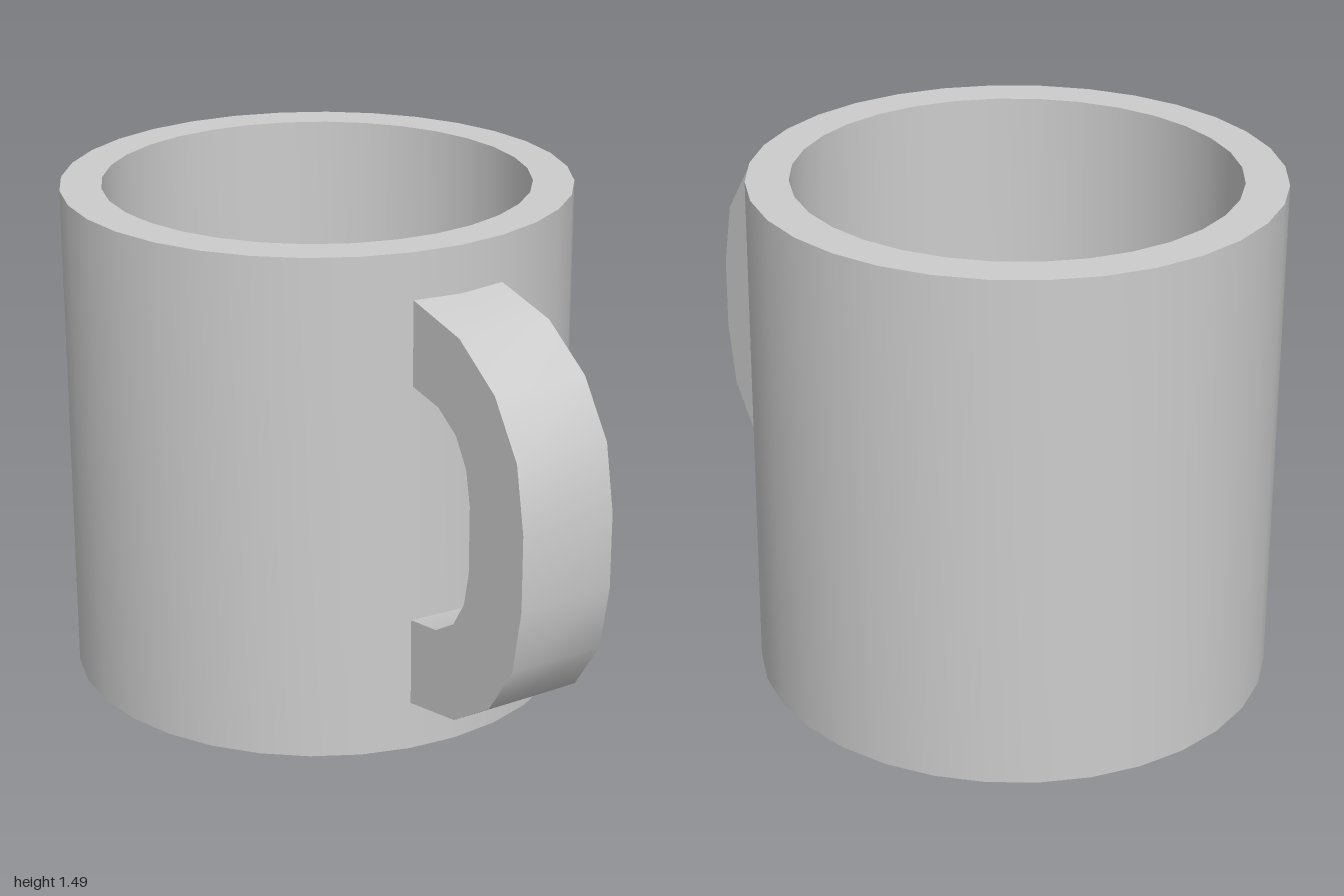
import * as THREE from 'three';
import { toCreasedNormals } from 'three/addons/utils/BufferGeometryUtils.js';

const CREASE = 0.7;
const RADIUS = 0.745, INNER = 0.625, HEIGHT = 1.49, FLOOR = 0.12, CENTRE_Z = -0.255;
const SIDES = 32, HANDLE_WIDTH = 0.29;

export function createModel() {
  const group = new THREE.Group();
  group.name = 'mug';
  const grey = new THREE.MeshStandardMaterial({ color: 0xcccccc });
  grey.name = 'light grey';

  // Cup: closed profile turned around the axis, with a thick wall and floor
  const profile = [
    [0, 0], [RADIUS, 0], [RADIUS, HEIGHT], [INNER, HEIGHT], [INNER, FLOOR], [0, FLOOR],
  ].map(([r, y]) => new THREE.Vector2(r, y));
  const cup = new THREE.Mesh(toCreasedNormals(new THREE.LatheGeometry(profile, SIDES), CREASE), grey);
  cup.name = 'cup';
  cup.position.z = CENTRE_Z;
  group.add(cup);

  // Handle: faceted C outline as (z, y), upper half mirrored about its mid height
  const midY = 0.75;
  const outer = [[0.476, 1.355], [0.695, 1.312], [0.86, 1.205], [0.965, 1.05], [1, 0.86]];
  const inner = [[0.476, 1.108], [0.6, 1.088], [0.685, 1.035], [0.735, 0.955], [0.755, 0.855]];
  const mirror = (pts, y) => pts.map(([z, py]) => [z, 2 * y - py]).reverse();
  const outline = [
    ...outer, ...mirror(outer, midY),
    ...mirror(mirror(inner, midY + 0.007), midY + 0.007).length
      ? [...mirror(inner, midY + 0.007)].reverse() : [],
    ...[...inner].reverse(),
  ].map(([z, y]) => new THREE.Vector2(z, y));
  const handleGeometry = new THREE.ExtrudeGeometry(new THREE.Shape(outline), {
    depth: HANDLE_WIDTH, bevelEnabled: false, steps: 1,
  });
  handleGeometry.rotateY(-Math.PI / 2).translate(HANDLE_WIDTH / 2, 0, 0);
  const handle = new THREE.Mesh(toCreasedNormals(handleGeometry, CREASE), grey);
  handle.name = 'handle';
  group.add(handle);

  return group;
}
